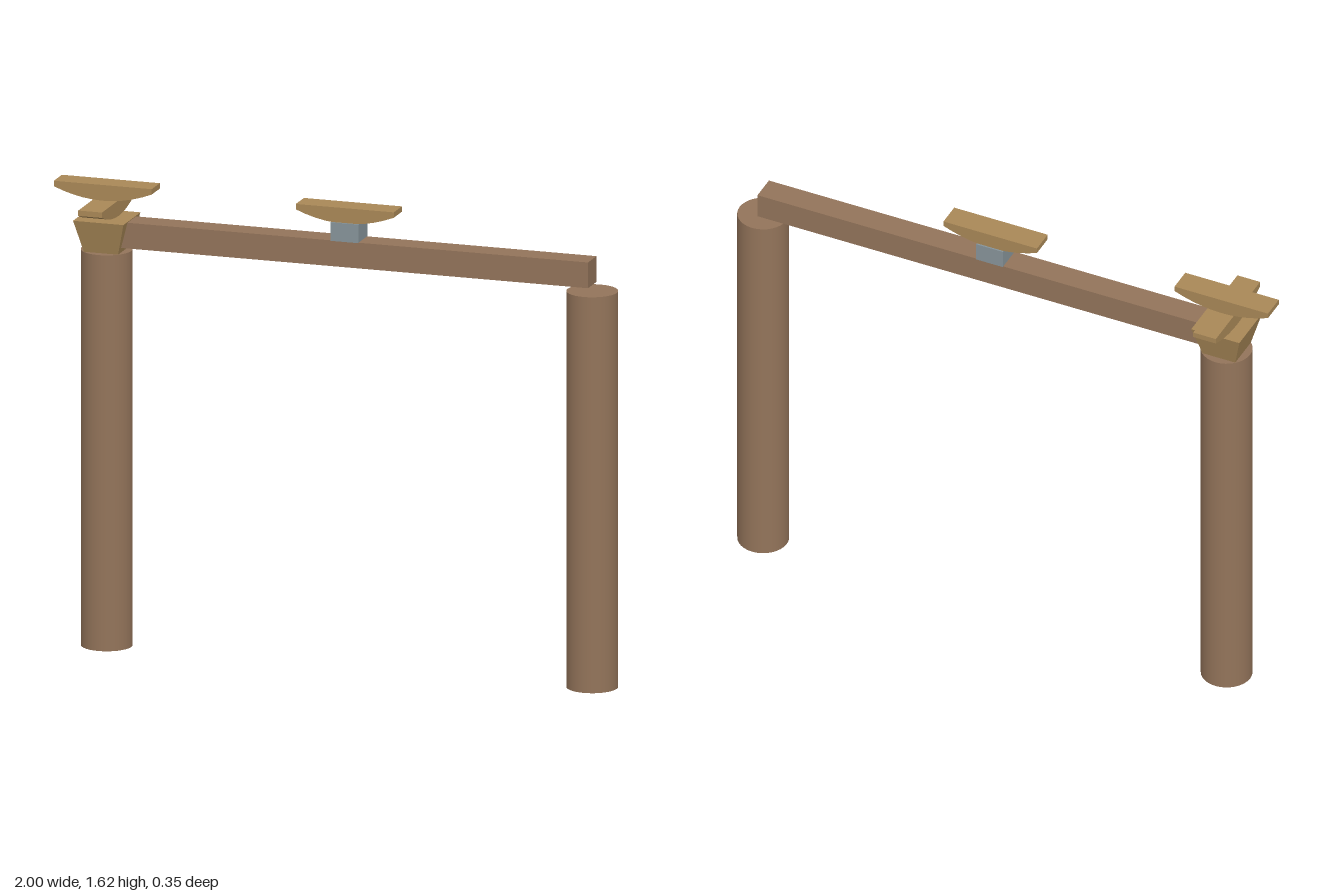
import * as THREE from 'three';

const material = (name, color) => {
  const m = new THREE.MeshStandardMaterial({ color });
  m.name = name;
  return m;
};

export function createModel() {
  const model = new THREE.Group();
  model.name = 'postAndBeam';
  const timber = material('brownTimber', 0x93745a);
  const bracketWood = material('goldenWood', 0xa98857);
  const stone = material('blueGrey', 0x87949a);

  const add = (parent, name, geometry, mat, x, y, z = 0) => {
    const mesh = new THREE.Mesh(geometry, mat);
    mesh.name = name;
    mesh.position.set(x, y, z);
    parent.add(mesh);
    return mesh;
  };

  const rightX = -0.825, leftX = 0.91, postHeight = 1.385;

  // Round posts
  const postGeometry = new THREE.CylinderGeometry(0.088, 0.088, postHeight, 32);
  add(model, 'rightPost', postGeometry, timber, rightX, postHeight / 2);
  add(model, 'leftPost', postGeometry, timber, leftX, postHeight / 2);

  // Cross beam between the post centres
  add(model, 'beam', new THREE.BoxGeometry(leftX - rightX, 0.09, 0.09), timber,
    (leftX + rightX) / 2, 1.45);

  // Bearing block: a box that narrows towards its base
  const block = new THREE.BoxGeometry(0.18, 0.113, 0.18);
  const p = block.attributes.position;
  for (let i = 0; i < p.count; i++) {
    if (p.getY(i) < 0) {
      p.setX(i, p.getX(i) * 0.68);
      p.setZ(i, p.getZ(i) * 0.68);
    }
  }
  block.computeVertexNormals();
  add(model, 'bearingBlock', block, bracketWood, rightX, 1.4415);

  // Bow-shaped bracket arm: flat top, curved underside, origin at its lowest point
  const half = 0.175, height = 0.055, width = 0.085;
  const profile = new THREE.Shape();
  profile.moveTo(half, height);
  profile.lineTo(-half, height);
  profile.lineTo(-half, 0.036);
  profile.quadraticCurveTo(0, -0.036, half, 0.036);
  const armGeometry = new THREE.ExtrudeGeometry(profile,
    { depth: width, bevelEnabled: false, curveSegments: 10 });
  armGeometry.translate(0, 0, -width / 2);

  // Crossed pair of arms on the bearing block
  const bracket = new THREE.Group();
  bracket.name = 'crossedBracket';
  model.add(bracket);
  add(bracket, 'lowerArm', armGeometry, bracketWood, rightX, 1.504).rotation.y = Math.PI / 2;
  add(bracket, 'upperArm', armGeometry, bracketWood, rightX, 1.564);

  // Middle arm on its small support block
  add(model, 'middleSupport', new THREE.BoxGeometry(0.1, 0.065, 0.096), stone, 0.04, 1.5265);
  add(model, 'middleArm', armGeometry, bracketWood, 0.04, 1.556);

  return model;
}
